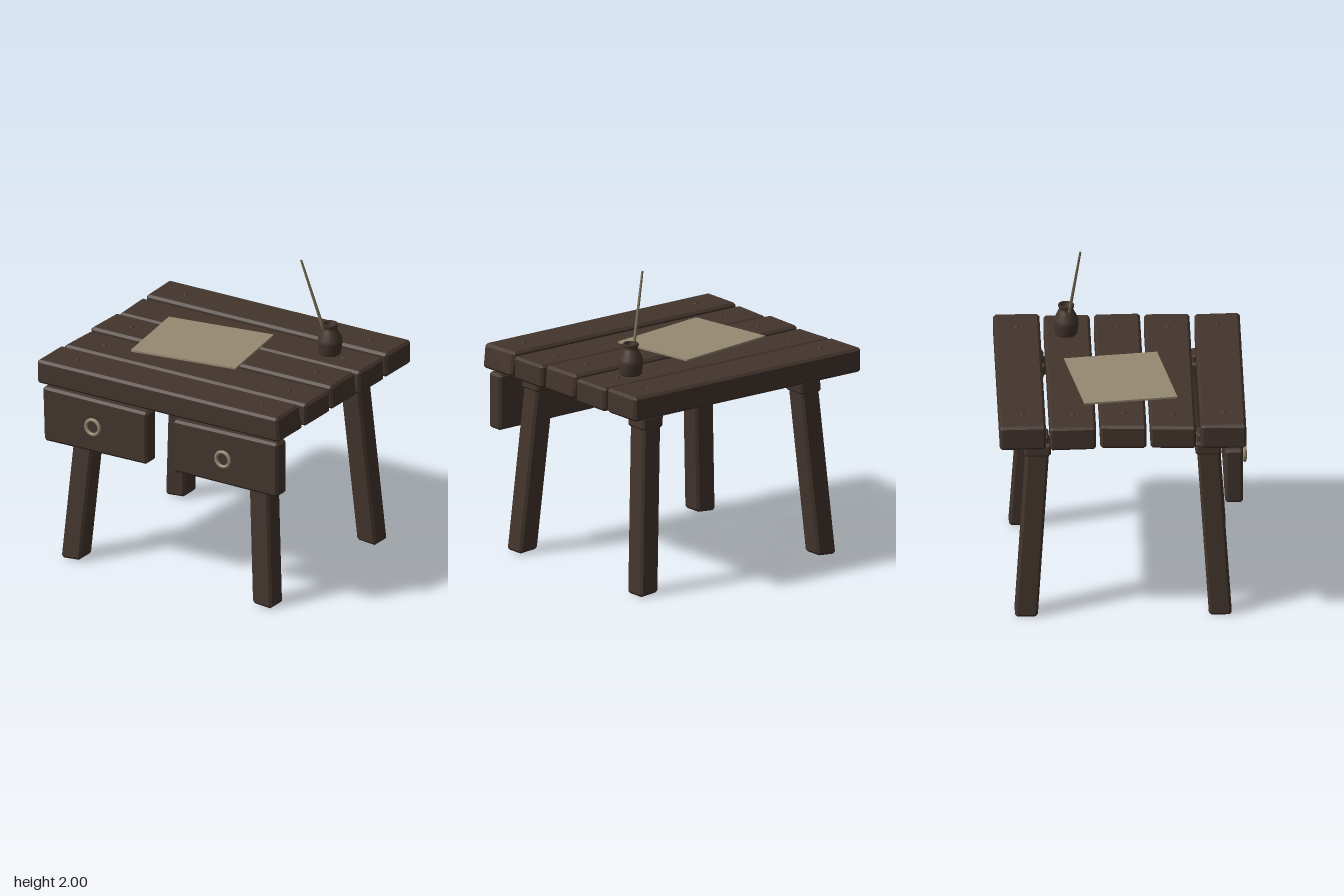
import * as THREE from 'three';
import { ConvexGeometry } from 'three/addons/geometries/ConvexGeometry.js';

const V = (x, y, z) => new THREE.Vector3(x, y, z);

// Chamfered six-sided block; corner(i, j, k) gives each corner for i, j, k = 0 or 1
function chamferedBlock(corner, bevel) {
  const points = [];
  for (let n = 0; n < 8; n++) {
    const ijk = [n & 1, (n >> 1) & 1, (n >> 2) & 1];
    const p = corner(...ijk);
    const inward = [0, 1, 2].map((a) => {
      const other = ijk.slice();
      other[a] = 1 - other[a];
      return corner(...other).sub(p).setLength(bevel);
    });
    for (let a = 0; a < 3; a++) {
      points.push(p.clone().add(inward[(a + 1) % 3]).add(inward[(a + 2) % 3]));
    }
  }
  return new ConvexGeometry(points);
}

// Block between two x, y and z limits, with an optional shift per corner
function block(x, y, z, bevel, shift = () => [0, 0, 0]) {
  return chamferedBlock((i, j, k) => V(x[i], y[j], z[k]).add(V(...shift(i, j, k))), bevel);
}

export function createModel() {
  const wood = new THREE.MeshStandardMaterial({ color: 0x43352d });
  wood.name = 'dark wood';
  const paperMat = new THREE.MeshStandardMaterial({ color: 0x968a72 });
  paperMat.name = 'parchment';
  const quillMat = new THREE.MeshStandardMaterial({ color: 0x7d735c });
  quillMat.name = 'pale bone';

  const model = new THREE.Group();
  model.name = 'writingDesk';
  const add = (name, geometry, material, parent = model) => {
    const mesh = new THREE.Mesh(geometry, material);
    mesh.name = name;
    parent.add(mesh);
    return mesh;
  };

  // Table top: five rough planks, each with slightly skewed ends
  const planks = [
    { z: [-0.79, -0.49], y: [1.21, 1.37], left: 0.01, right: 0.0 },
    { z: [-0.47, -0.17], y: [1.205, 1.36], left: 0.015, right: 0.0 },
    { z: [-0.15, 0.15], y: [1.215, 1.37], left: -0.01, right: -0.02 },
    { z: [0.17, 0.465], y: [1.21, 1.36], left: -0.015, right: 0.0 },
    { z: [0.49, 0.785], y: [1.21, 1.37], left: 0.0, right: -0.03 },
  ];
  const nailGeo = new THREE.SphereGeometry(0.016, 10, 5, 0, Math.PI * 2, 0, Math.PI / 2);
  planks.forEach(({ z, y, left, right }, n) => {
    add('plank' + (n + 1), block([-0.92, 0.915], y, z, 0.016, (i, j, k) => [
      i ? right * j * (k ? 0.5 : 1) : Math.abs(left) * (left > 0 ? k : 1 - k),
      0,
      i === k ? 0 : (k ? -0.006 : 0.006),
    ]), wood);
    for (const x of [-0.7, 0.695]) {
      const nail = add('nail', nailGeo, wood);
      nail.position.set(x, y[1] - 0.001, (z[0] + z[1]) / 2);
      nail.scale.y = 0.6;
    }
  });

  // Legs splay outwards; each has a collar and a short neck under the top
  const axisX = (y) => 0.722 - 0.073 * y;
  const axisZ = (y) => 0.618 - 0.067 * y;
  const legPart = (sx, sz, y0, y1, half, bevel) => chamferedBlock((i, j, k) => {
    const y = j ? y1 : y0;
    const tilt = y0 < 0.1 && !j ? 0.012 * (i === (sx > 0 ? 1 : 0) ? 0 : 1) : 0;
    return V(sx * axisX(y) + (i ? half : -half), y + tilt, sz * axisZ(y) + (k ? half : -half));
  }, bevel);
  for (const sx of [-1, 1]) {
    for (const sz of [-1, 1]) {
      const leg = new THREE.Group();
      leg.name = (sz > 0 ? 'front' : 'back') + (sx > 0 ? 'Left' : 'Right') + 'Leg';
      model.add(leg);
      add('post', legPart(sx, sz, 0, 1.12, 0.073, 0.016), wood, leg);
      add('collar', legPart(sx, sz, 1.08, 1.165, 0.084, 0.014), wood, leg);
      add('neck', legPart(sx, sz, 1.14, 1.215, 0.066, 0.012), wood, leg);
    }
  }

  // Drawer fronts with ring pulls
  const drawers = [
    { name: 'rightDrawer', x: [-0.89, -0.1], s: -1 },
    { name: 'leftDrawer', x: [0.095, 0.885], s: 1 },
  ];
  for (const { name, x, s } of drawers) {
    const drawer = new THREE.Group();
    drawer.name = name;
    model.add(drawer);
    add('drawerFront', block(x, [0.815, 1.185], [0.645, 0.76], 0.016, (i, j) => {
      const outer = (i === 1) === (s > 0);
      return [outer && !j && s < 0 ? 0.012 : 0, outer ? 0 : (j ? -0.008 : 0.006), 0];
    }), wood, drawer);
    const ring = add('ringPull', new THREE.TorusGeometry(0.05, 0.012, 8, 24), paperMat, drawer);
    ring.position.set(s < 0 ? -0.495 : 0.487, 1, 0.78);
  }

  // Sheet of paper lying askew
  const paper = add('paper', new THREE.BoxGeometry(0.73, 0.012, 0.6), paperMat);
  paper.position.set(-0.165, 1.38, 0);
  paper.rotation.y = 0.152;

  // Ink pot
  const profile = [
    [0, 0], [0.064, 0], [0.071, 0.01], [0.08, 0.08], [0.078, 0.105], [0.05, 0.165], [0.043, 0.18],
    [0.05, 0.188], [0.052, 0.2], [0.048, 0.208], [0.036, 0.205], [0.032, 0.14], [0, 0.14],
  ].map(([r, y]) => new THREE.Vector2(r, y));
  const pot = add('inkPot', new THREE.LatheGeometry(profile, 20), wood);
  pot.position.set(0.59, 1.365, -0.328);

  // Quill leaning in the pot, tapering at its tip
  const tip = V(0.427, 2, -0.242);
  const nib = V(0.568, 1.47, -0.318);
  const axis = tip.clone().sub(nib);
  const quill = add('quill', new THREE.CylinderGeometry(0.007, 0.011, axis.length(), 8), quillMat);
  quill.position.copy(nib).addScaledVector(axis, 0.5);
  quill.quaternion.setFromUnitVectors(V(0, 1, 0), axis.clone().normalize());

  return model;
}
